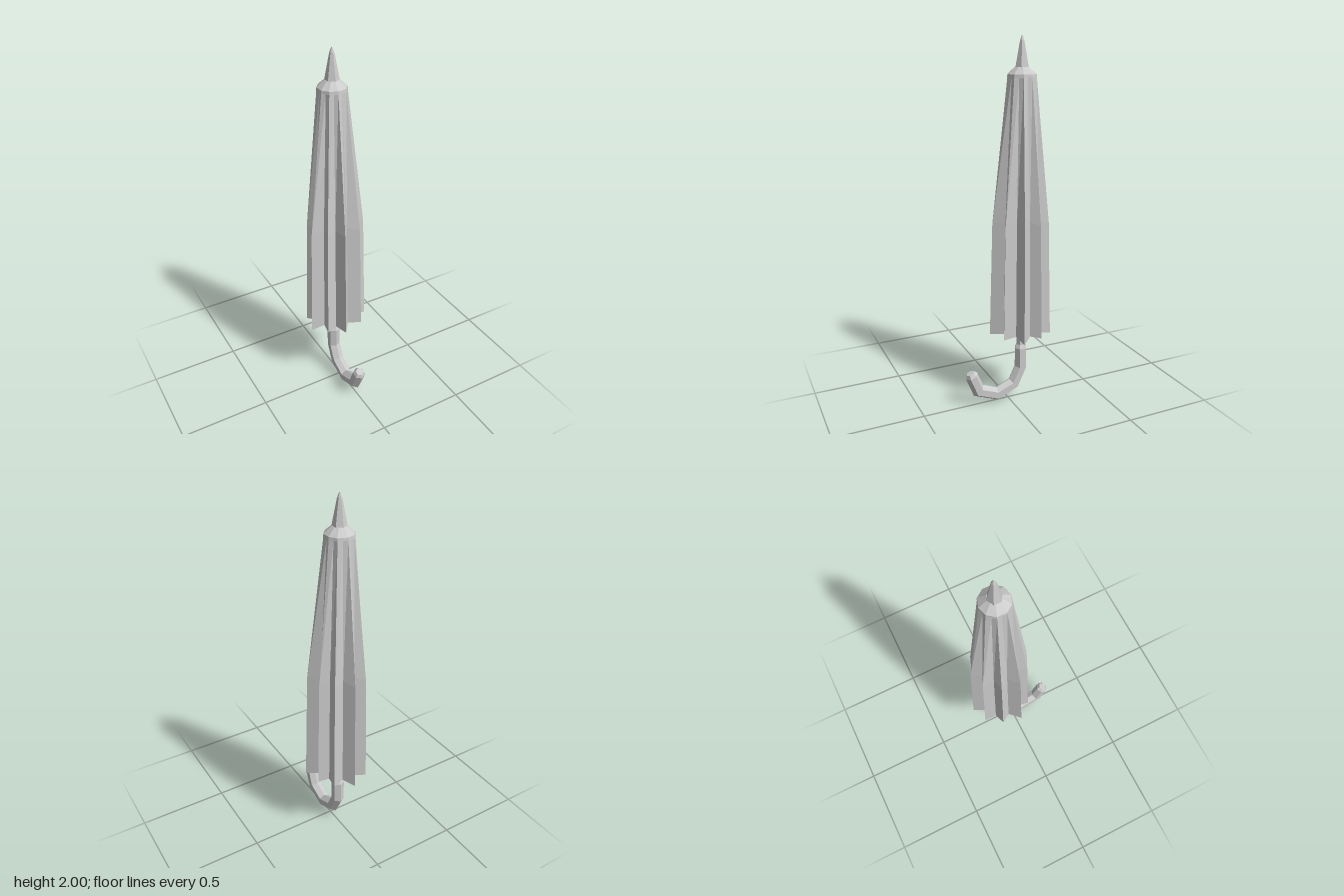
import * as THREE from 'three';

const AXIS_Z = -0.08;
const material = new THREE.MeshStandardMaterial({ color: 0xcccccc, flatShading: true });

// Skin a stack of equal-length rings (counter-clockwise about the travel direction), closing both ends
function loft(name, rings) {
  const pos = [];
  const tri = (...pts) => pts.forEach((p) => pos.push(p.x, p.y, p.z));
  const n = rings[0].length;
  for (let r = 0; r < rings.length - 1; r++) {
    for (let i = 0; i < n; i++) {
      const j = (i + 1) % n;
      const [a, b, c, d] = [rings[r][i], rings[r][j], rings[r + 1][i], rings[r + 1][j]];
      tri(a, b, d);
      tri(a, d, c);
    }
  }
  const middle = (ring) => ring.reduce((s, p) => s.add(p), new THREE.Vector3()).divideScalar(n);
  const first = rings[0], last = rings[rings.length - 1];
  const m0 = middle(first), m1 = middle(last);
  for (let i = 0; i < n; i++) {
    const j = (i + 1) % n;
    tri(m0, first[j], first[i]);
    tri(m1, last[i], last[j]);
  }
  const geometry = new THREE.BufferGeometry();
  geometry.setAttribute('position', new THREE.Float32BufferAttribute(pos, 3));
  geometry.computeVertexNormals();
  const mesh = new THREE.Mesh(geometry, material);
  mesh.name = name;
  return mesh;
}

// Irregular fold tips of the closed canopy at its hem, as [x, z]
const tips = [
  [-0.018, 0.1], [0.1, 0.067], [0.175, -0.02], [0.16, -0.13], [0.105, -0.21],
  [0, -0.258], [-0.095, -0.224], [-0.15, -0.13], [-0.175, -0.02], [-0.11, 0.057],
].map(([x, z]) => new THREE.Vector2(x, z - AXIS_Z));

// Ring alternating fold tips and valleys; tip and valley give a radius from the hem direction
function foldRing(tip, valley, tipY, valleyY) {
  return tips.flatMap((t, i) => {
    const next = tips[(i + 1) % tips.length];
    const a = t.clone().setLength(tip(t.length()));
    const b = t.clone().normalize().add(next.clone().normalize()).setLength(valley);
    return [
      new THREE.Vector3(a.x, tipY(i), a.y + AXIS_Z),
      new THREE.Vector3(b.x, valleyY, b.y + AXIS_Z),
    ];
  });
}

// Hexagonal tube swept along [z, y, radius] points in the x = 0 plane, with mitred bends
function hexSweep(name, path) {
  const pts = path.map(([z, y]) => new THREE.Vector2(z, y));
  const rings = pts.map((p, k) => {
    const before = pts[k].clone().sub(pts[Math.max(k - 1, 0)]).normalize();
    const after = pts[Math.min(k + 1, pts.length - 1)].clone().sub(pts[k]).normalize();
    const t = before.clone().add(after).normalize();
    const mitre = 1 / Math.max(t.dot(after), t.dot(before));
    return Array.from({ length: 6 }, (_, i) => {
      const a = (i * Math.PI) / 3;
      const out = path[k][2] * Math.cos(a) * mitre;
      return new THREE.Vector3(path[k][2] * Math.sin(a), p.y - t.x * out, p.x + t.y * out);
    });
  });
  return loft(name, rings);
}

export function createModel() {
  const group = new THREE.Group();
  group.name = 'closedUmbrella';

  // Folded canopy: hem, widest bend and gathered top
  group.add(loft('canopy', [
    foldRing((r) => r, 0.12, (i) => 0.405 + 0.008 * Math.sin(i * 2.3), 0.415),
    foldRing((r) => r * 0.9, 0.108, () => 1.04, 1.06),
    foldRing(() => 0.076, 0.068, () => 1.8, 1.8),
  ]));

  // Sloped collar over the gathered cloth
  group.add(loft('collar', [
    foldRing(() => 0.078, 0.074, () => 1.795, 1.795),
    foldRing(() => 0.076, 0.072, () => 1.81, 1.81),
    foldRing(() => 0.036, 0.034, () => 1.845, 1.845),
  ]));

  // Pointed six-sided finial
  group.add(hexSweep('finial', [
    [AXIS_Z, 1.82, 0.036], [AXIS_Z, 1.845, 0.037],
    [AXIS_Z, 1.975, 0.012], [AXIS_Z, 2, 0.002],
  ]));

  // Shaft between canopy and handle
  group.add(hexSweep('shaft', [[AXIS_Z, 0.28, 0.025], [AXIS_Z, 1.83, 0.025]]));

  // Hooked handle, from its bevelled free end round to the shaft
  group.add(hexSweep('handle', [
    [0.226, 0.2, 0.024], [0.219, 0.182, 0.036], [0.18, 0.085, 0.036],
    [0.07, 0.041, 0.036], [-0.035, 0.085, 0.036], [AXIS_Z, 0.18, 0.036],
    [AXIS_Z, 0.3, 0.036], [AXIS_Z, 0.322, 0.025],
  ]));

  return group;
}
